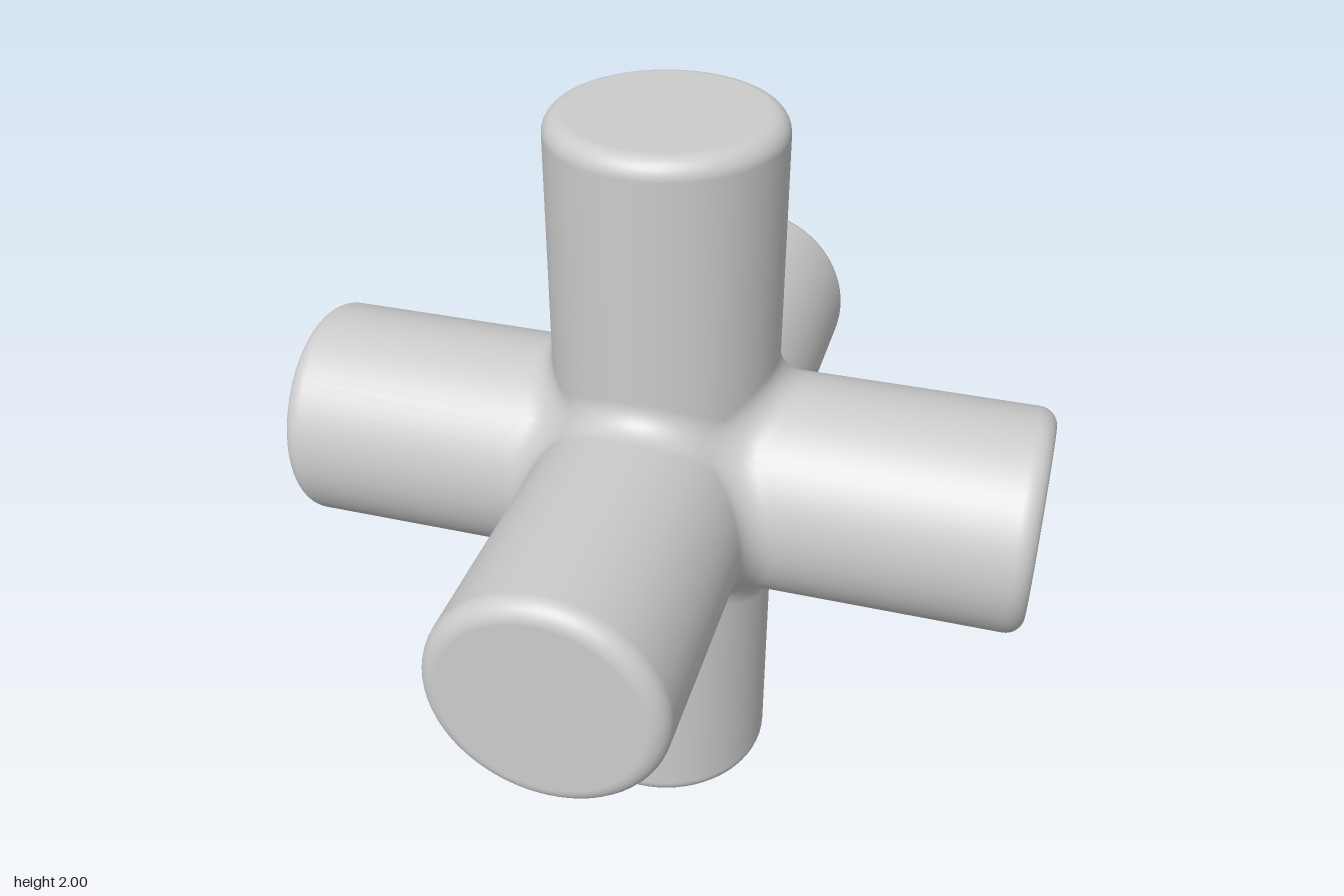
import * as THREE from 'three';

const R = 0.295;      // arm radius
const FILLET = 0.068; // rounding where arms meet
const BEVEL = 0.05;   // rounding at arm ends
const SIDES = 64;     // multiple of 8 keeps the seams between arms aligned

// Rounded union of three crossing cylinders
function field(x, y, z) {
  const d = [Math.hypot(y, z) - R, Math.hypot(x, z) - R, Math.hypot(x, y) - R];
  return Math.max(FILLET, Math.min(...d)) - Math.hypot(...d.map((v) => Math.max(FILLET - v, 0)));
}

function fieldNormal(p) {
  const e = 1e-4;
  return new THREE.Vector3(
    field(p.x + e, p.y, p.z) - field(p.x - e, p.y, p.z),
    field(p.x, p.y + e, p.z) - field(p.x, p.y - e, p.z),
    field(p.x, p.y, p.z + e) - field(p.x, p.y, p.z - e)).normalize();
}

// Push a point outward from the centre until it lies on the blended surface
function project(p) {
  let lo = 0.99, hi = 1.5;
  for (let i = 0; i < 30; i++) {
    const s = (lo + hi) / 2;
    if (field(p.x * s, p.y * s, p.z * s) > 0) hi = s; else lo = s;
  }
  return p.multiplyScalar(hi);
}

// One arm along +y, from its seam with the neighbouring arms to its flat end
function armGeometry() {
  const positions = [], normals = [], index = [];
  const blendRows = 12, bevelRows = 8;
  const rows = blendRows + 1 + bevelRows + 1 + 1;
  for (let i = 0; i < rows; i++) {
    for (let j = 0; j <= SIDES; j++) {
      const a = (j / SIDES) * Math.PI * 2, c = Math.cos(a), s = Math.sin(a);
      let p, n;
      if (i <= blendRows) {
        // fillet zone
        const seam = R * Math.max(Math.abs(c), Math.abs(s));
        p = project(new THREE.Vector3(R * c, seam + 0.11 * i / blendRows, R * s));
        n = fieldNormal(p);
      } else if (i < rows - 1) {
        // straight side, then the rounded rim
        const t = ((i - blendRows - 1) / bevelRows) * Math.PI / 2;
        const r = R - BEVEL + BEVEL * Math.cos(t);
        p = new THREE.Vector3(r * c, 1 - BEVEL + BEVEL * Math.sin(t), r * s);
        n = new THREE.Vector3(Math.cos(t) * c, Math.sin(t), Math.cos(t) * s);
      } else {
        // centre of the flat end
        p = new THREE.Vector3(0, 1, 0);
        n = new THREE.Vector3(0, 1, 0);
      }
      positions.push(p.x, p.y, p.z);
      normals.push(n.x, n.y, n.z);
      if (i < rows - 1 && j < SIDES) {
        const k = i * (SIDES + 1) + j, up = k + SIDES + 1;
        index.push(k, up, k + 1);
        if (i < rows - 2) index.push(k + 1, up, up + 1);
      }
    }
  }
  const g = new THREE.BufferGeometry();
  g.setAttribute('position', new THREE.Float32BufferAttribute(positions, 3));
  g.setAttribute('normal', new THREE.Float32BufferAttribute(normals, 3));
  g.setIndex(index);
  return g;
}

export function createModel() {
  const model = new THREE.Group();
  model.name = 'sixWayPipeCross';
  const material = new THREE.MeshStandardMaterial({ color: 0xcccccc });
  const geometry = armGeometry();
  const up = new THREE.Vector3(0, 1, 0);

  // Six arms; the horizontal four are turned onto the diagonals
  const arms = {
    topArm: [0, 1, 0], bottomArm: [0, -1, 0],
    backLeftArm: [1, 0, 0], frontRightArm: [-1, 0, 0],
    frontLeftArm: [0, 0, 1], backRightArm: [0, 0, -1],
  };
  const cross = new THREE.Group();
  cross.name = 'cross';
  for (const [name, axis] of Object.entries(arms)) {
    const arm = new THREE.Mesh(geometry, material);
    arm.name = name;
    arm.quaternion.setFromUnitVectors(up, new THREE.Vector3(...axis));
    cross.add(arm);
  }
  cross.rotation.y = Math.PI / 4;
  cross.position.y = 1;
  model.add(cross);
  return model;
}
